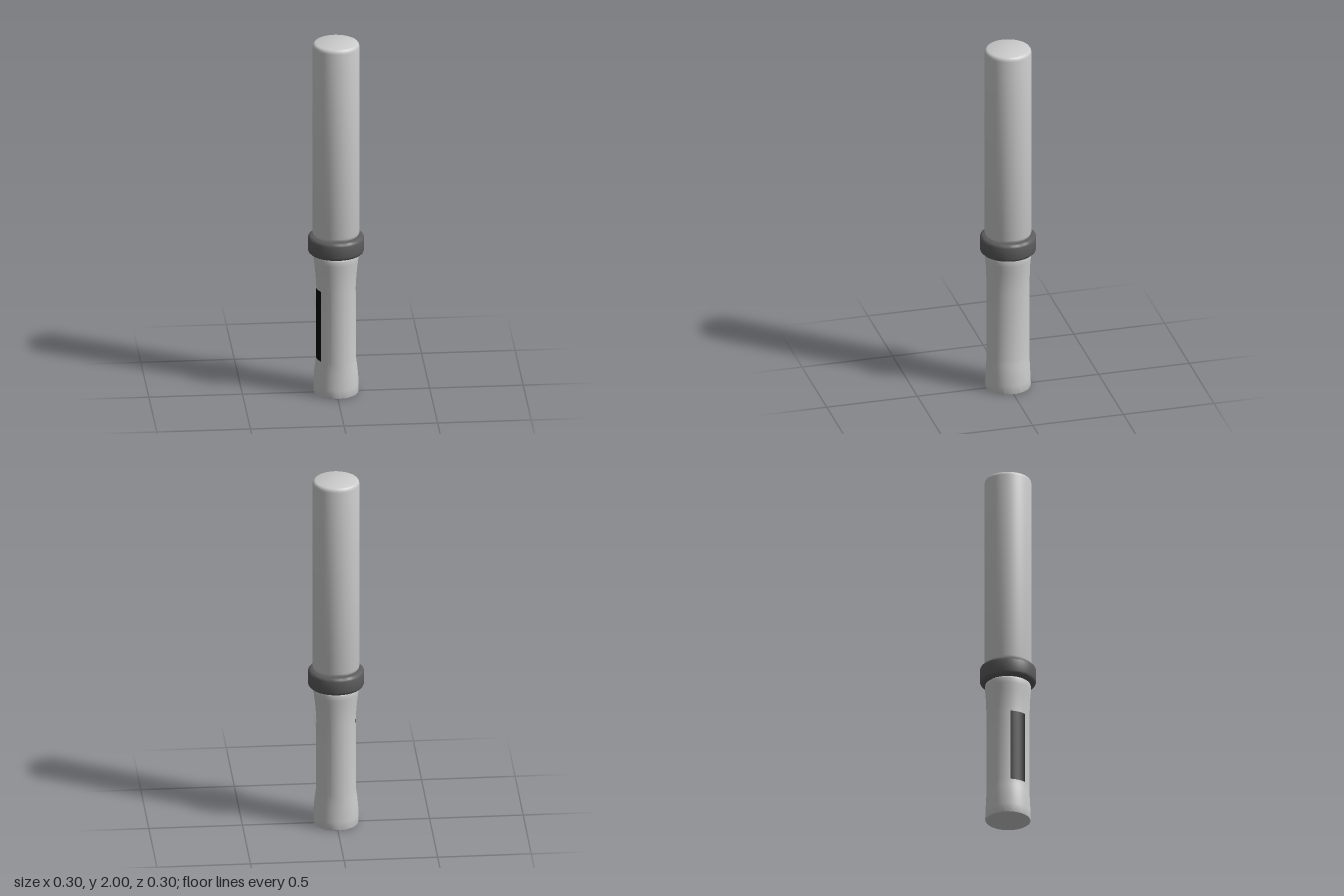
import * as THREE from 'three';
import { mergeVertices, toCreasedNormals } from 'three/addons/utils/BufferGeometryUtils.js';

const mat = (color) => new THREE.MeshStandardMaterial({ color });

// Closed round body from [y, radiusX, radiusZ] rows, listed bottom to top
function ovalLathe(rows, segments = 64) {
  let geo = new THREE.LatheGeometry(rows.map(([y, , rz]) => new THREE.Vector2(rz, y)), segments);
  const pos = geo.attributes.position;
  for (let i = 0; i < pos.count; i++) {
    const [, rx, rz] = rows[i % rows.length];
    pos.setX(i, rz > 0 ? pos.getX(i) * rx / rz : 0);
  }
  geo.deleteAttribute('uv');
  geo.deleteAttribute('normal');
  geo = mergeVertices(geo, 1e-5);
  return toCreasedNormals(geo, 0.6);
}

const round = (rows) => rows.map(([y, r]) => [y, r, r]);

function add(group, name, geo, color = 0xcccccc) {
  const mesh = new THREE.Mesh(geo, mat(color));
  mesh.name = name;
  group.add(mesh);
  return mesh;
}

export function createModel() {
  const group = new THREE.Group();
  group.name = 'baton';

  // Upper shaft with softly rounded ends
  add(group, 'upperShaft', ovalLathe(round([
    [0.895, 0], [0.895, 0.108], [0.9, 0.117], [0.907, 0.122], [0.918, 0.125],
    [1.978, 0.125], [1.988, 0.123], [1.996, 0.118], [2, 0.11], [2, 0],
  ])));

  // Dark collar between shaft and grip
  add(group, 'collar', ovalLathe(round([
    [0.8, 0], [0.8, 0.132], [0.803, 0.141], [0.809, 0.147], [0.818, 0.15],
    [0.882, 0.15], [0.891, 0.147], [0.897, 0.141], [0.9, 0.132], [0.9, 0],
  ])), 0x5c5c5c);

  // Grip: narrow oval waist flaring into round ends
  add(group, 'grip', ovalLathe([
    [0, 0, 0], [0, 0.114, 0.116], [0.003, 0.118, 0.12], [0.01, 0.12, 0.122],
    [0.05, 0.12, 0.12], [0.1, 0.118, 0.118], [0.14, 0.114, 0.116],
    [0.17, 0.11, 0.115], [0.2, 0.106, 0.115], [0.6, 0.105, 0.115],
    [0.64, 0.107, 0.116], [0.68, 0.11, 0.1175], [0.72, 0.114, 0.119],
    [0.76, 0.119, 0.122], [0.785, 0.121, 0.123], [0.795, 0.119, 0.12],
    [0.8, 0.113, 0.114], [0.8, 0, 0],
  ]));

  // Black inlay wrapped on the side of the grip
  const inlay = new THREE.CylinderGeometry(1, 1, 0.4, 24, 1, true, Math.PI * 1.5 - 0.13, 0.77);
  inlay.scale(0.107, 1, 0.1165);
  const panel = add(group, 'gripInlay', inlay, 0x050505);
  panel.material.side = THREE.DoubleSide;
  panel.position.y = 0.4;

  return group;
}
